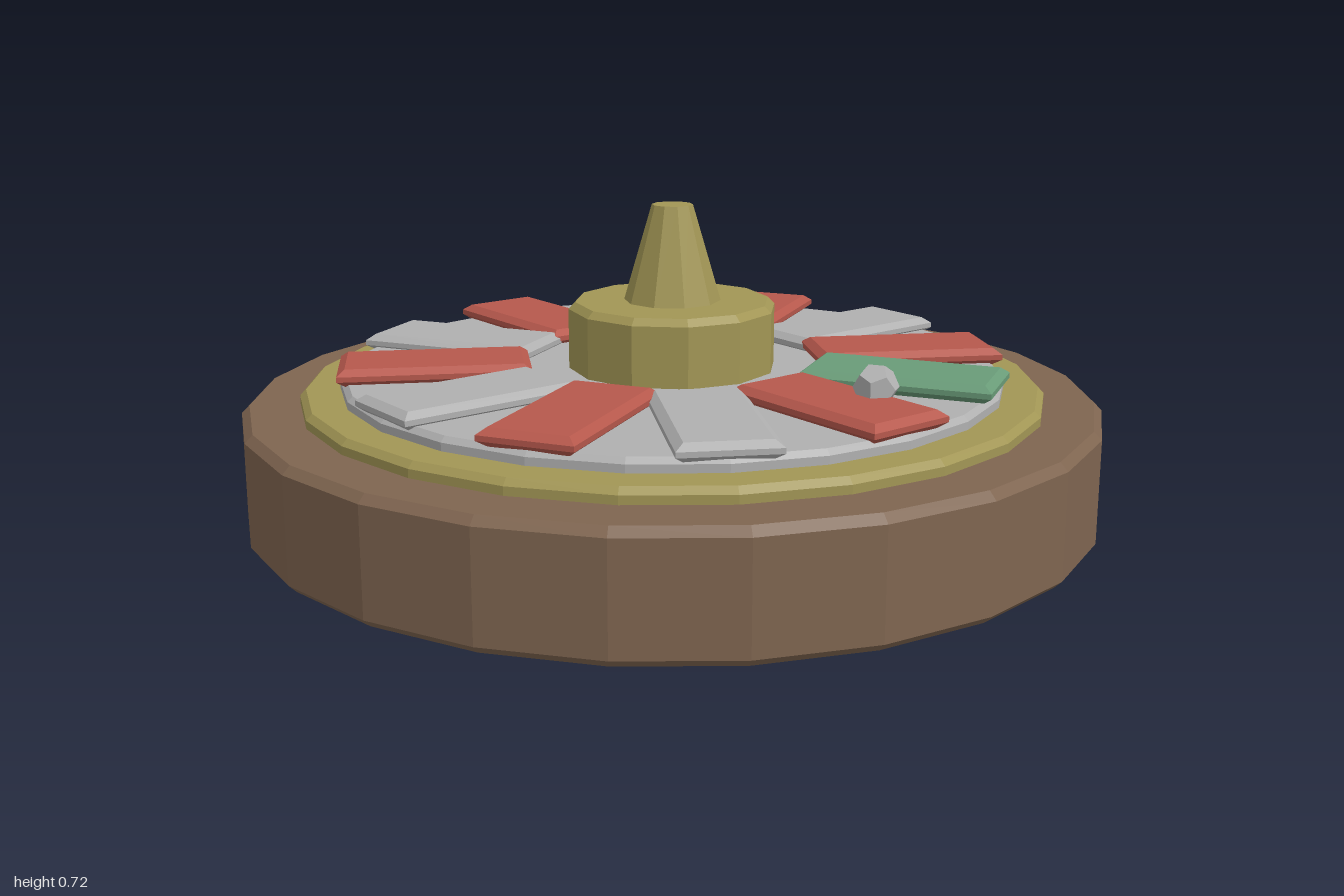
import * as THREE from 'three';

const mat = (name, color) => {
  const m = new THREE.MeshStandardMaterial({ color, flatShading: true });
  m.name = name;
  return m;
};

// Faceted turned disc with chamfered rims
function disc(name, radius, y0, y1, bevel, sides, material) {
  const points = [
    [0, y0], [radius - bevel, y0], [radius, y0 + bevel],
    [radius, y1 - bevel], [radius - bevel, y1], [0, y1],
  ].map(([x, y]) => new THREE.Vector2(x, y));
  const mesh = new THREE.Mesh(new THREE.LatheGeometry(points, sides), material);
  mesh.name = name;
  return mesh;
}

// Chamfered slab lying flat, centred on the origin
function slabGeometry(length, width, height, inset, chamfer) {
  const l = length / 2 - inset, w = width / 2 - inset;
  const shape = new THREE.Shape([
    new THREE.Vector2(-l, -w), new THREE.Vector2(l, -w),
    new THREE.Vector2(l, w), new THREE.Vector2(-l, w),
  ]);
  const geometry = new THREE.ExtrudeGeometry(shape, {
    depth: height - 2 * chamfer, bevelEnabled: true,
    bevelSize: inset, bevelThickness: chamfer, bevelSegments: 1,
  });
  geometry.rotateX(-Math.PI / 2);
  geometry.center();
  return geometry;
}

export function createModel() {
  const group = new THREE.Group();
  group.name = 'rouletteWheel';
  const wood = mat('brown wood', 0x7f6550);
  const gold = mat('old gold', 0xa29655);
  const silver = mat('light grey', 0xb0b0b0);
  const red = mat('red', 0xb6584c);
  const green = mat('green', 0x699b78);

  // Stacked body, from the bowl up to the hub
  group.add(
    disc('bowl', 1, 0, 0.272, 0.018, 24, wood),
    disc('rim', 0.867, 0.25, 0.305, 0.014, 24, gold),
    disc('rotor', 0.775, 0.29, 0.335, 0.012, 24, silver),
    disc('hub', 0.245, 0.3, 0.492, 0.016, 12, gold),
  );

  // Tapered handle
  const spindle = new THREE.Mesh(new THREE.CylinderGeometry(0.048, 0.115, 0.23, 10), gold);
  spindle.name = 'spindle';
  spindle.position.y = 0.602;
  group.add(spindle);

  // Twelve pockets: one green, the rest alternating red and grey
  const slab = slabGeometry(0.44, 0.215, 0.04, 0.018, 0.014);
  for (let i = 0; i < 12; i++) {
    const material = i === 0 ? green : i % 2 ? red : silver;
    const pocket = new THREE.Mesh(slab, material);
    pocket.name = `pocket${i + 1}`;
    const a = (i * Math.PI) / 6;
    const y = i === 0 ? 0.355 : i % 2 ? 0.35 : 0.345;
    pocket.position.set(Math.cos(a) * 0.557, y, -Math.sin(a) * 0.557);
    pocket.rotation.y = a;
    group.add(pocket);
  }

  // Ball resting on a red pocket
  const ball = new THREE.Mesh(new THREE.DodecahedronGeometry(0.05), silver);
  ball.name = 'ball';
  ball.position.set(0.553, 0.385, 0.222);
  group.add(ball);

  return group;
}
